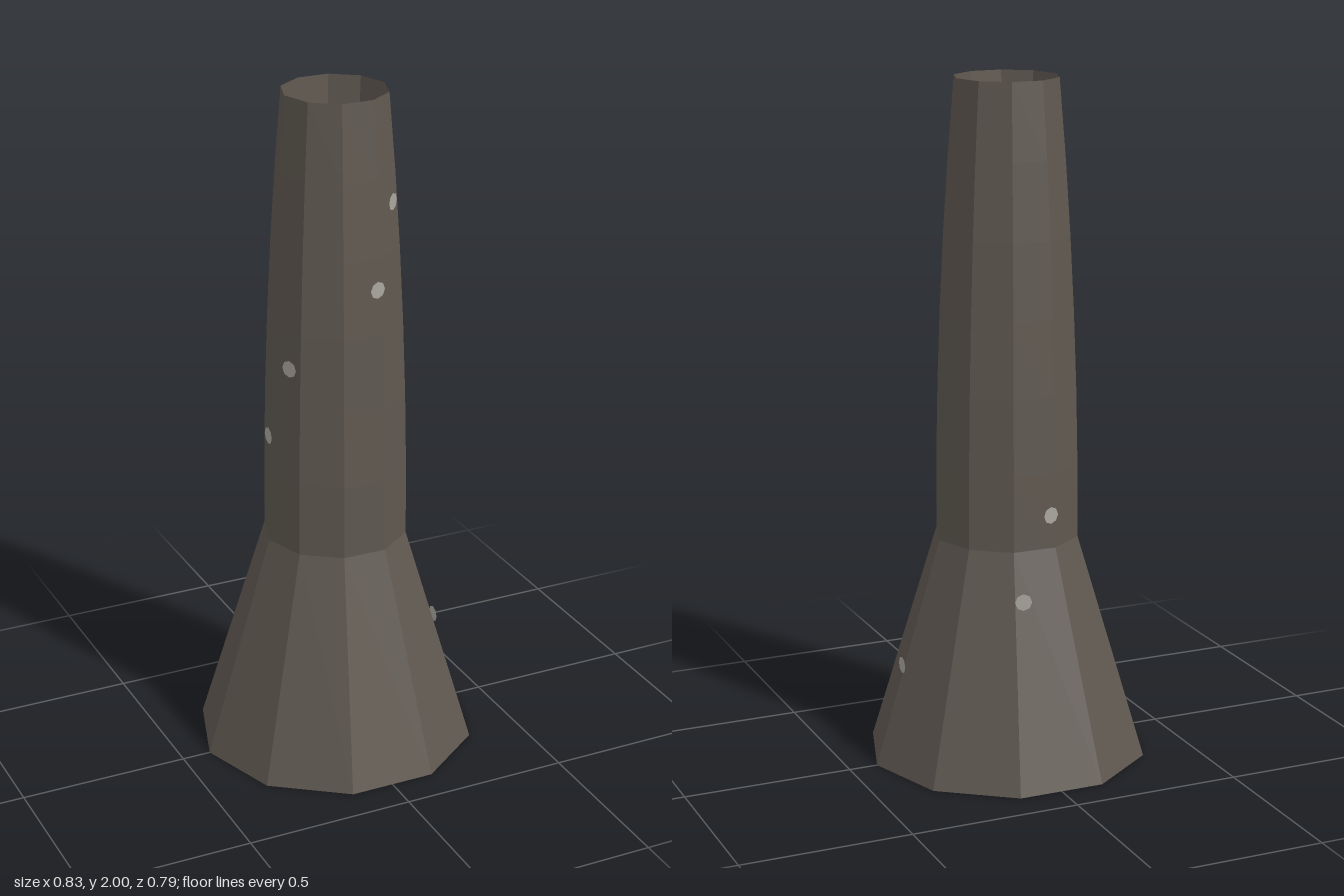
import * as THREE from 'three';

const SIDES = 10;
const SHOULDER = 0.667;

// Radius (to the corners) of the outer wall at height y
function wallRadius(y) {
  if (y < SHOULDER) return THREE.MathUtils.lerp(0.415, 0.212, y / SHOULDER);
  const t = (y - SHOULDER) / (2 - SHOULDER);
  return 0.212 - 0.06 * t * t;
}

// Ten-sided open surface with a corner on the x axis
function facetedLathe(name, profile, material) {
  const geometry = new THREE.LatheGeometry(profile, SIDES);
  geometry.rotateY(Math.PI / 2);
  const mesh = new THREE.Mesh(geometry, material);
  mesh.name = name;
  return mesh;
}

export function createModel() {
  const model = new THREE.Group();
  model.name = 'chimneyTower';

  const stone = new THREE.MeshStandardMaterial({
    color: 0x5f5850, flatShading: true, side: THREE.DoubleSide,
  });
  const pale = new THREE.MeshStandardMaterial({ color: 0xaaa69e, side: THREE.DoubleSide });

  // Flared base and gently tapering shaft
  const profile = [new THREE.Vector2(wallRadius(0), 0)];
  const steps = 6;
  for (let i = 0; i <= steps; i++) {
    const y = SHOULDER + (2 - SHOULDER) * i / steps;
    profile.push(new THREE.Vector2(wallRadius(y), y));
  }
  model.add(facetedLathe('outerWall', profile, stone));

  // Long inner funnel from the top rim down to a point at ground level
  model.add(facetedLathe('innerFunnel', [
    new THREE.Vector2(wallRadius(2), 2),
    new THREE.Vector2(0, 0),
  ], stone));

  // Small upright discs winding up around the wall
  const disc = new THREE.CircleGeometry(0.025, 8);
  const turn = Math.PI * 2 / 7;
  for (let i = 0; i < 7; i++) {
    const y = 0.3 + i * 0.2335;
    const angle = i * turn + (i % 2) * turn / 2;
    const r = wallRadius(y) + (y < SHOULDER ? 0.009 : 0.003);
    const spot = new THREE.Mesh(disc, pale);
    spot.name = `wallSpot${i + 1}`;
    spot.position.set(r * Math.cos(angle), y, -r * Math.sin(angle));
    spot.rotation.y = angle + Math.PI / 2;
    model.add(spot);
  }

  return model;
}
